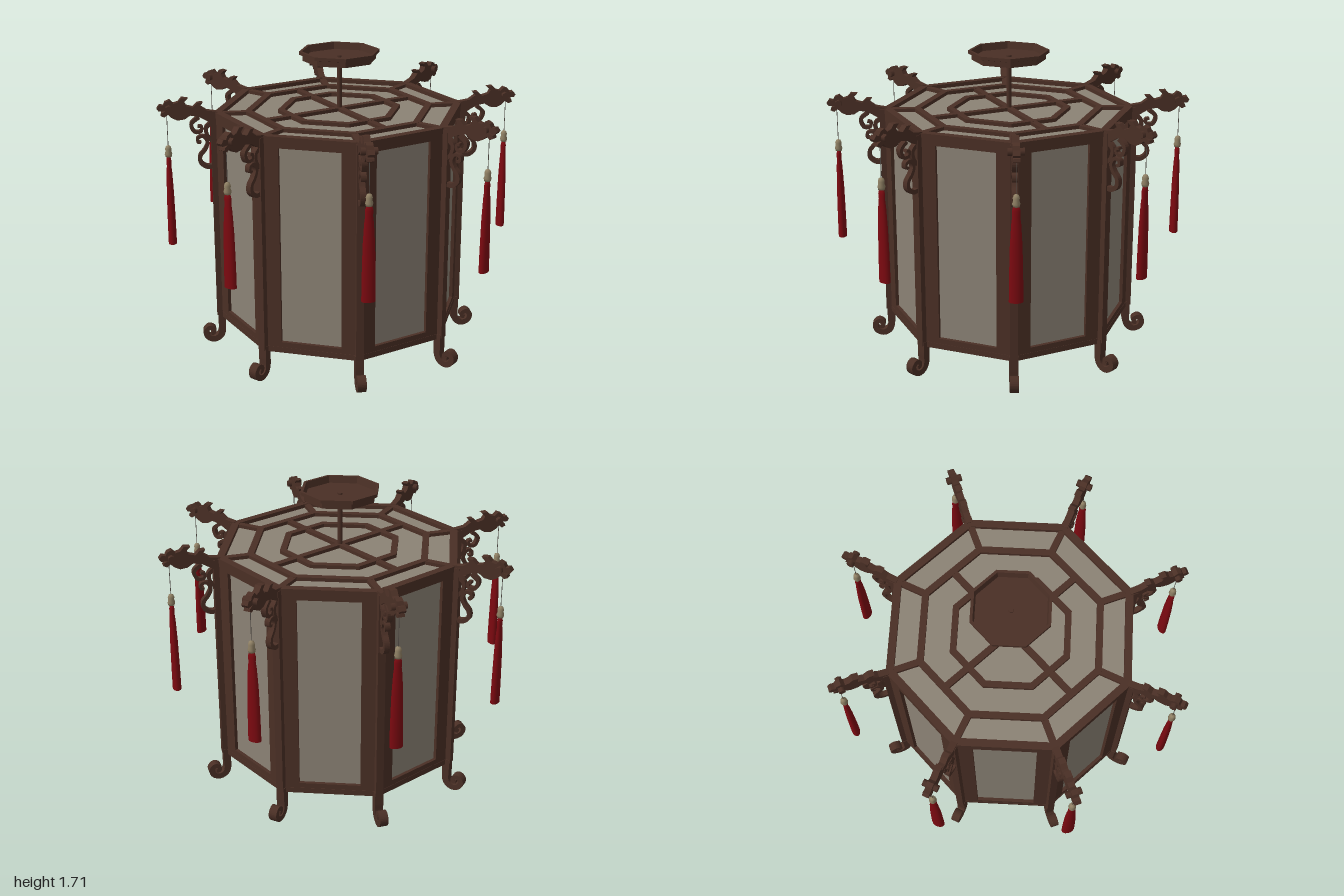
import * as THREE from 'three';

const mat = (name, color) => Object.assign(new THREE.MeshStandardMaterial({ color }), { name });
const D = Math.PI / 180, TURN = 10 * D, STEP = 45 * D;

export function createModel() {
  const wood = mat('dark wood', 0x4a2f25);
  const paper = mat('lantern panel', 0x8b8275);
  const red = mat('tassel red', 0x7c0910);
  const beige = mat('bead', 0x8f8064);
  const grey = mat('cord', 0x57504a);
  const model = new THREE.Group();
  model.name = 'octagonalLantern';

  const add = (parent, name, geo, material, x = 0, y = 0, z = 0) => {
    const m = new THREE.Mesh(geo, material);
    m.name = name;
    m.position.set(x, y, z);
    parent.add(m);
    return m;
  };
  const flat = (geo) => {
    const g = geo.toNonIndexed();
    g.computeVertexNormals();
    return g;
  };
  const octagon = (r) => Array.from({ length: 8 }, (_, i) =>
    new THREE.Vector2(r * Math.sin(TURN + i * STEP), -r * Math.cos(TURN + i * STEP)));
  const extrude = (shape, depth) => new THREE.ExtrudeGeometry(shape, { depth, bevelEnabled: false, curveSegments: 6 });
  const ringGeo = (r, w, h) => {
    const s = new THREE.Shape(octagon(r));
    s.holes.push(new THREE.Path(octagon(r - w)));
    return extrude(s, h).rotateX(-Math.PI / 2);
  };
  const v2 = (pts) => pts.map(([x, y]) => new THREE.Vector2(x, y));

  // Tapered flat strip following a smooth curve, centred on z = 0
  const ribbon = (pts, w0, w1, depth) => {
    const curve = new THREE.SplineCurve(v2(pts)), n = pts.length * 5;
    const left = [], right = [];
    for (let i = 0; i <= n; i++) {
      const p = curve.getPoint(i / n), t = curve.getTangent(i / n);
      const w = (w0 + (w1 - w0) * i / n) / 2;
      left.push(new THREE.Vector2(p.x - t.y * w, p.y + t.x * w));
      right.unshift(new THREE.Vector2(p.x + t.y * w, p.y - t.x * w));
    }
    return extrude(new THREE.Shape([...left, ...right]), depth).translate(0, 0, -depth / 2);
  };

  // Top and bottom lattices: a panel, three rings, short spokes and a cross
  for (const [name, y, panelY] of [['top', 1.355, 1.355], ['bottom', 0.158, 0.18]]) {
    const g = new THREE.Group();
    g.name = name + 'Lattice';
    model.add(g);
    add(g, name + 'Panel', flat(new THREE.CylinderGeometry(0.67, 0.67, 0.01, 8, 1, false, TURN)), paper, 0, panelY + 0.005);
    add(g, 'outerRing', ringGeo(0.7, 0.045, 0.032), wood, 0, y);
    add(g, 'middleRing', ringGeo(0.53, 0.04, 0.028), wood, 0, y + 0.002);
    add(g, 'innerRing', ringGeo(0.345, 0.037, 0.028), wood, 0, y + 0.002);
    for (let i = 0; i < 8; i++) {
      const a = TURN + i * STEP;
      add(g, 'spoke', new THREE.BoxGeometry(0.036, 0.026, 0.17), wood,
        0.595 * Math.sin(a), y + 0.016, 0.595 * Math.cos(a)).rotation.y = a;
    }
    for (let i = 0; i < 2; i++)
      add(g, 'crossBar', new THREE.BoxGeometry(0.036, 0.026, 0.93), wood, 0, y + 0.016).rotation.y = TURN + STEP / 2 + i * Math.PI / 2;
  }

  // Eight framed side panels
  const frame = new THREE.Shape(v2([[-0.266, 0.16], [0.266, 0.16], [0.266, 1.385], [-0.266, 1.385]]));
  frame.holes.push(new THREE.Path(v2([[-0.168, 0.22], [-0.168, 1.325], [0.168, 1.325], [0.168, 0.22]])));
  const frameGeo = extrude(frame, 0.035);
  const paneGeo = new THREE.BoxGeometry(0.36, 1.13, 0.008);
  for (let i = 0; i < 8; i++) {
    const side = new THREE.Group();
    side.name = 'side';
    side.rotation.y = TURN + (i + 0.5) * STEP;
    model.add(side);
    add(side, 'sideFrame', frameGeo, wood, 0, 0, 0.61);
    add(side, 'sidePanel', paneGeo, paper, 0, 0.7725, 0.622);
  }

  // Carved arm ending in an open-mouthed beast head
  const armGeo = extrude(new THREE.Shape(v2([
    [0.68, 1.31], [0.73, 1.335], [0.78, 1.365], [0.83, 1.375], [0.86, 1.355], [0.9, 1.35], [0.93, 1.365],
    [0.95, 1.385], [0.97, 1.37], [0.99, 1.38], [0.985, 1.395], [0.96, 1.405], [1.0, 1.405], [1.01, 1.42],
    [0.995, 1.44], [0.975, 1.435], [0.965, 1.455], [0.94, 1.465], [0.92, 1.445], [0.895, 1.452],
    [0.875, 1.475], [0.84, 1.472], [0.862, 1.45], [0.85, 1.43], [0.815, 1.42], [0.79, 1.445],
    [0.76, 1.445], [0.775, 1.425], [0.74, 1.4], [0.68, 1.39]])), 0.036).translate(0, 0, -0.018);
  const scrolls = [
    ribbon([[0.785, 1.36], [0.825, 1.325], [0.81, 1.28], [0.775, 1.28], [0.77, 1.305], [0.79, 1.31]], 0.022, 0.014, 0.03),
    ribbon([[0.7, 1.08], [0.745, 1.075], [0.78, 1.1], [0.782, 1.14], [0.755, 1.175], [0.74, 1.215],
      [0.76, 1.25], [0.79, 1.245], [0.793, 1.22], [0.775, 1.215]], 0.026, 0.014, 0.03),
    ribbon([[0.71, 1.33], [0.745, 1.3], [0.74, 1.255], [0.715, 1.22]], 0.024, 0.018, 0.03),
  ];
  const legGeo = ribbon([[0.692, 0.19], [0.694, 0.12], [0.694, 0.07], [0.708, 0.035], [0.742, 0.018], [0.778, 0.032],
    [0.79, 0.066], [0.768, 0.09], [0.743, 0.078], [0.745, 0.057], [0.76, 0.057]], 0.044, 0.02, 0.048);
  const hornGeo = new THREE.CylinderGeometry(0.02, 0.02, 0.085, 6).rotateX(Math.PI / 2);
  const postGeo = new THREE.BoxGeometry(0.07, 1.21, 0.042);
  const cordGeo = new THREE.CylinderGeometry(0.002, 0.002, 0.18, 5);
  const beadGeo = new THREE.LatheGeometry(v2([[0, 0], [0.017, 0.003], [0.021, 0.018], [0.016, 0.034], [0.018, 0.048], [0.013, 0.063], [0, 0.07]]), 12);
  const tasselGeo = new THREE.LatheGeometry(v2([[0, 0], [0.037, 0], [0.037, 0], [0.036, 0.12], [0.032, 0.3], [0.025, 0.42],
    [0.02, 0.46], [0.022, 0.49], [0.015, 0.515], [0, 0.52]]), 14).scale(0.64, 1, 1);

  // Corners: post, leg, arm, scrollwork and hanging tassel; local x points outward
  for (let i = 0; i < 8; i++) {
    const corner = new THREE.Group();
    corner.name = 'corner';
    corner.rotation.y = TURN + i * STEP - Math.PI / 2;
    model.add(corner);
    add(corner, 'post', postGeo, wood, 0.685, 0.775);
    add(corner, 'scrollLeg', legGeo, wood);
    add(corner, 'beastArm', armGeo, wood);
    add(corner, 'beastBrow', hornGeo, wood, 0.945, 1.42);
    scrolls.forEach((s) => add(corner, 'scrollBracket', s, wood));
    add(corner, 'cord', cordGeo, grey, 0.957, 1.29);
    add(corner, 'bead', beadGeo, beige, 0.957, 1.138);
    add(corner, 'tassel', tasselGeo, red, 0.957, 0.628);
  }

  // Hanging rod and hollow ceiling plate
  add(model, 'rod', new THREE.CylinderGeometry(0.014, 0.014, 0.3, 12), wood, 0, 1.52);
  add(model, 'ceilingPlate', flat(new THREE.LatheGeometry(v2([[0, 1.655], [0.205, 1.655], [0.205, 1.685], [0.224, 1.69],
    [0.224, 1.708], [0.208, 1.708], [0.2, 1.67], [0, 1.67]]), 8, TURN)), wood);
  add(model, 'rodNut', new THREE.CylinderGeometry(0.014, 0.014, 0.012, 6), wood, 0, 1.674);
  return model;
}
